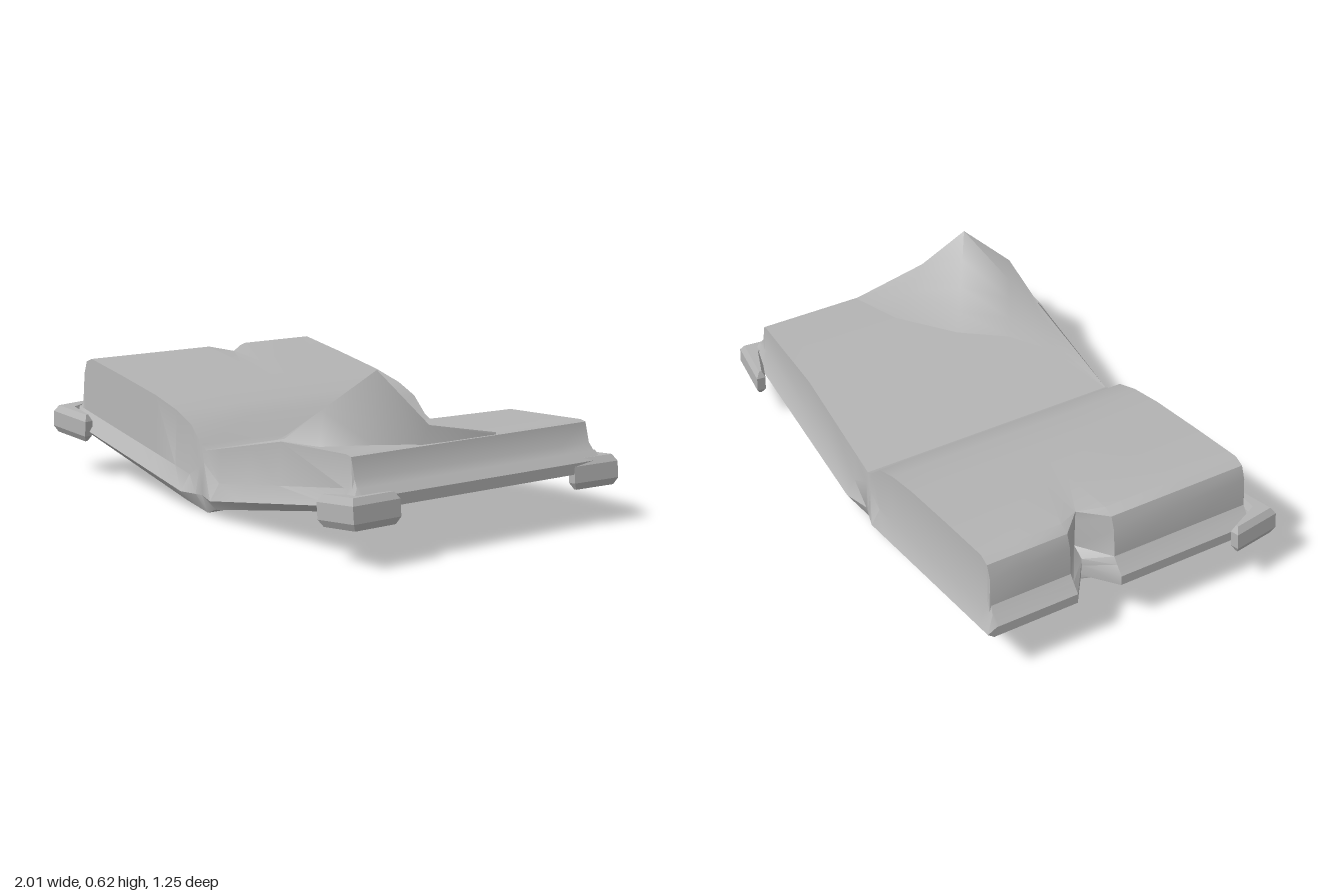
import * as THREE from 'three';
import { toCreasedNormals } from 'three/addons/utils/BufferGeometryUtils.js';

const grey = new THREE.MeshStandardMaterial({ color: 0xb4b4b4, side: THREE.DoubleSide });
grey.name = 'plain grey';

// Top outline of the open pages from the left end to the right end: [x, y]
const OUTLINE = [
  [-0.96, 0.235], [-0.93, 0.265], [-0.91, 0.29], [-0.9, 0.4], [-0.88, 0.45], [-0.84, 0.465],
  [-0.6, 0.43], [-0.35, 0.39], [-0.2, 0.355], [-0.1, 0.315], [-0.03, 0.25], [0, 0.235],
  [0.1, 0.258], [0.3, 0.305], [0.48, 0.347], [0.86, 0.367], [0.885, 0.362], [0.905, 0.29],
  [0.93, 0.265], [0.96, 0.235],
];
// Sample positions from front (1) to back (-1); values between are plain z
const ZS = [1, 0.25, -0.04, -0.13, -0.22, -0.4, -1];
const lerp = THREE.MathUtils.lerp;

function makeGeometry(positions, indices, crease) {
  const g = new THREE.BufferGeometry();
  g.setAttribute('position', new THREE.Float32BufferAttribute(positions, 3));
  g.setIndex(indices);
  return toCreasedNormals(g, crease);
}

function addMesh(group, name, geometry) {
  const m = new THREE.Mesh(geometry, grey);
  m.name = name;
  group.add(m);
  return m;
}

// Cover and page block: closed z-y sections lofted along x
function bookBody() {
  const positions = [], indices = [];
  const sampleZ = (s, front, back) => (s === 1 ? front : s === -1 ? back : s);
  for (const [x, top] of OUTLINE) {
    const a = Math.abs(x);
    const t = (a - 0.1) / 0.86;
    const spine = Math.max(0, 1 - a / 0.1);
    const bottom = a < 0.1 ? lerp(0.035, 0, spine) : lerp(0.035, 0.195, t);
    const mid = a < 0.1 ? 0.07 : lerp(0.07, 0.215, t);
    const rim = Math.min(top, lerp(lerp(0.13, 0.27, Math.max(0, t)), 0.19, spine));
    const inset = 0.03 * spine;
    const loop = [
      [mid, 0.565 - inset],
      ...ZS.map((s) => [bottom, sampleZ(s, 0.54 - inset, -0.555 + inset)]),
      [mid, -0.58 + inset],
      [rim, -0.545],
      ...[...ZS].reverse().map((s) => [top, sampleZ(s, 0.515, -0.537)]),
      [rim, 0.525],
    ];
    for (const [y, z] of loop) {
      // V-shaped tear in the left edge, deeper through the pages
      const tear = Math.max(0, 1 - Math.abs(z + 0.13) / 0.09);
      const cut = -0.96 + (y > 0.28 ? 0.17 : 0.12) * tear;
      positions.push(Math.max(x, cut), Math.min(y, 0.465 - 0.02 * tear), z);
    }
  }
  const L = 2 * ZS.length + 4, last = (OUTLINE.length - 1) * L;
  for (let i = 0; i < OUTLINE.length - 1; i++) {
    for (let j = 0; j < L; j++) {
      const a = i * L + j, b = i * L + ((j + 1) % L);
      indices.push(a, b, b + L, a, b + L, a + L);
    }
  }
  for (let j = 0; j < L / 2 - 1; j++) {
    const a = j, b = j + 1, c = L - 2 - j, d = L - 1 - j;
    indices.push(a, c, b, a, d, c);
    indices.push(last + a, last + b, last + c, last + a, last + c, last + d);
  }
  return makeGeometry(positions, indices, 0.55);
}

// Surface through rows of points, ordered to face up or outward
function sheet(rows) {
  const n = rows[0].length, indices = [];
  for (let i = 0; i < rows.length - 1; i++) {
    for (let j = 0; j < n - 1; j++) {
      const a = i * n + j, b = a + n;
      indices.push(a, b, a + 1, a + 1, b, b + 1);
    }
  }
  return makeGeometry(rows.flat(2), indices, 1.2);
}

// Height of the flat right page
const pageY = (x) => (x < 0.48 ? lerp(0.235, 0.347, x / 0.48) : lerp(0.347, 0.367, (x - 0.48) / 0.38));

// Raised edge of the curled page corner, its foot, and [x, z] where it leaves the page
const CURL = [[0.875, 0.37, -0.12], [0.878, 0.43, 0.18], [0.755, 0.615, 0.31],
  [0.655, 0.48, 0.465], [0.48, 0.355, 0.5], [0, 0.237, 0.515]];
const FOOT = [[0.88, 0.36, -0.12], [0.878, 0.365, 0.21], [0.785, 0.365, 0.345],
  [0.675, 0.358, 0.49], [0.48, 0.346, 0.512], [0, 0.234, 0.515]];
const ROOT = [[0.87, -0.13], [0.68, -0.05], [0.48, 0.12], [0.38, 0.3], [0.25, 0.42], [0, 0.51]];

function curlTop() {
  return sheet([0, 0.25, 0.5, 0.75, 1].map((t) => ROOT.map(([rx, rz], k) => {
    const [cx, cy, cz] = CURL[k];
    const x = lerp(rx, cx, t);
    return [x, pageY(x) + 0.001 + (cy - 0.001 - pageY(cx)) * t ** 1.35, lerp(rz, cz, t)];
  })));
}

// L-shaped bevelled corner guard, outer corner at the local origin
function cornerGeometry() {
  const shape = new THREE.Shape([
    [0, 0], [-0.195, 0], [-0.195, 0.035], [-0.065, 0.075], [-0.035, 0.2], [0, 0.2],
  ].map(([x, y]) => new THREE.Vector2(x, y)));
  const g = new THREE.ExtrudeGeometry(shape, {
    depth: 0.06, bevelEnabled: true, bevelThickness: 0.025, bevelSize: 0.014,
    bevelOffset: -0.014, bevelSegments: 1,
  });
  g.translate(0, 0, -0.03);
  g.rotateX(-Math.PI / 2);
  return g;
}

export function createModel() {
  const book = new THREE.Group();
  book.name = 'openBook';
  addMesh(book, 'coverAndPages', bookBody());
  addMesh(book, 'curledPage', curlTop());
  addMesh(book, 'curledPageEdge', sheet([CURL, FOOT]));

  // Three corner guards; the back corner on the torn side has lost its own
  const corner = cornerGeometry();
  const guards = [
    ['frontLeftCorner', 0.995, 0.195, 0.587, 0.03, 0.1],
    ['frontRightCorner', -0.972, 0.217, 0.62, -Math.PI / 2 + 0.17, -0.1],
    ['backLeftCorner', 0.98, 0.195, -0.612, Math.PI / 2 - 0.09, 0.1],
  ];
  for (const [name, x, y, z, turn, tilt] of guards) {
    const m = addMesh(book, name, corner);
    m.position.set(x, y, z);
    m.rotation.set(0, turn, tilt, 'ZYX');
  }
  return book;
}
